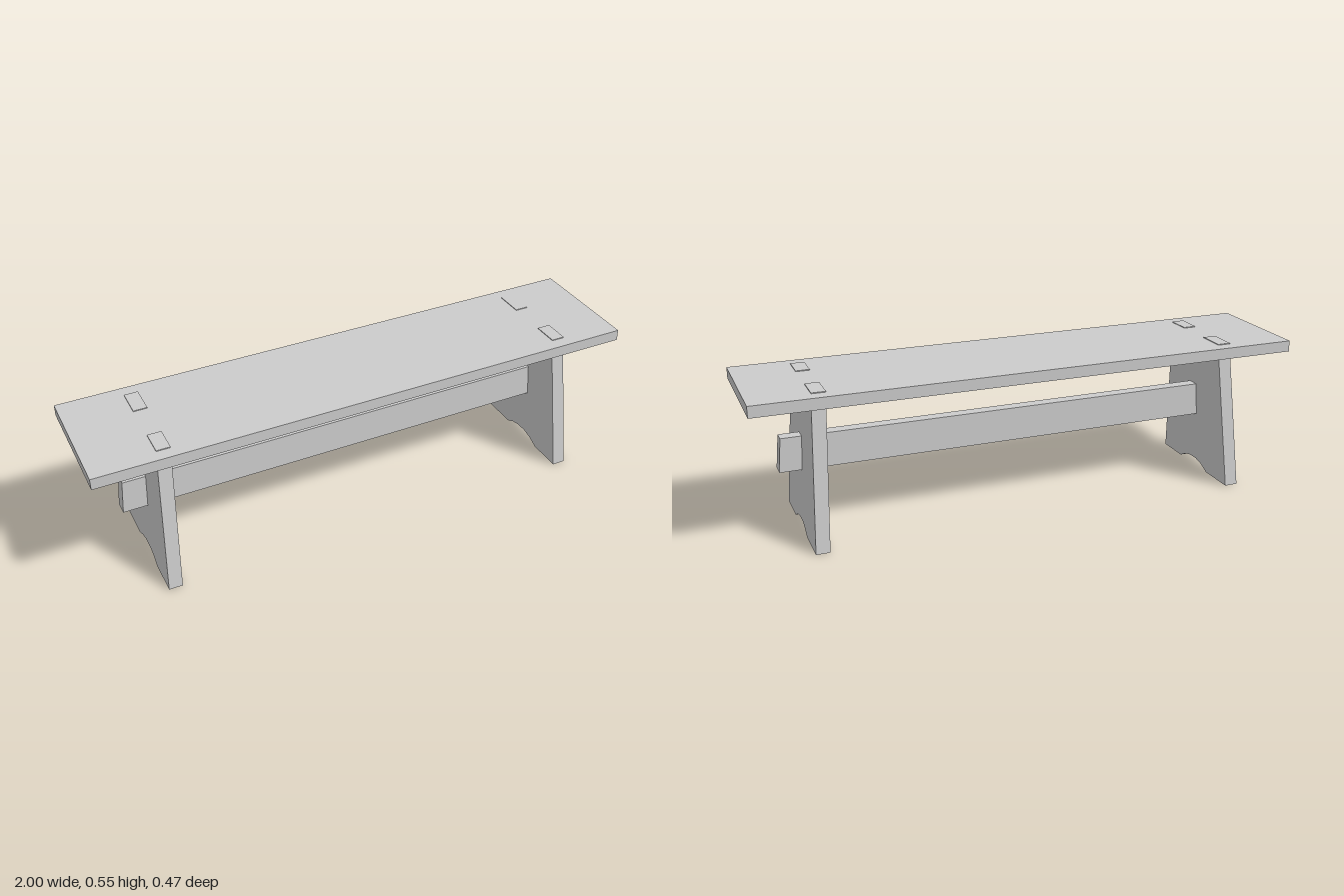
import * as THREE from 'three';

const material = new THREE.MeshStandardMaterial({ color: 0xcccccc, flatShading: true });

function addMesh(group, name, geometry) {
  const mesh = new THREE.Mesh(geometry, material);
  mesh.name = name;
  group.add(mesh);
}

// Extrude a (z, y) outline along x, from x = 0 to x = thickness
function extrudeAlongX(points, thickness) {
  const shape = new THREE.Shape(points.map(([z, y]) => new THREE.Vector2(z, y)));
  const geometry = new THREE.ExtrudeGeometry(shape, { depth: thickness, bevelEnabled: false });
  return geometry.rotateY(-Math.PI / 2).translate(thickness, 0, 0);
}

// Move each vertex along x by a rule
function shiftX(geometry, rule) {
  const p = geometry.attributes.position;
  for (let i = 0; i < p.count; i++) p.setX(i, p.getX(i) + rule(p.getX(i), p.getY(i)));
  geometry.computeVertexNormals();
  return geometry;
}

export function createModel() {
  const group = new THREE.Group();

  // Plank seat
  addMesh(group, 'seat', new THREE.BoxGeometry(2, 0.041, 0.441).translate(0, 0.5215, 0));

  // Tapered board legs with an arched foot and two tenons that pass through the seat
  const legOutline = [
    [-0.236, 0], [-0.092, 0], [-0.052, 0.02], [-0.014, 0.029], [0.03, 0.029], [0.068, 0.02],
    [0.107, 0], [0.236, 0], [0.176, 0.501], [0.174, 0.545], [0.08, 0.545], [0.08, 0.501],
    [-0.068, 0.501], [-0.068, 0.545], [-0.173, 0.545], [-0.176, 0.501],
  ];
  // Foot position and inward lean of each leg
  const legs = [['leftLeg', 0.77, -0.057], ['rightLeg', -0.802, 0.057]];
  for (const [name, footX, lean] of legs) {
    addMesh(group, name, shiftX(extrudeAlongX(legOutline, 0.049), (x, y) => footX + lean * y));
  }

  // Stretcher through both legs, with ends cut parallel to the legs
  const beamOutline = [[-0.016, 0.22], [0.036, 0.22], [0.032, 0.342], [-0.013, 0.342]];
  const beam = extrudeAlongX(beamOutline, 1.76);
  addMesh(group, 'stretcher', shiftX(beam, (x, y) =>
    -0.876 + (x > 0.88 ? -1 : 1) * 0.09 * (y - 0.22)));

  return group;
}
